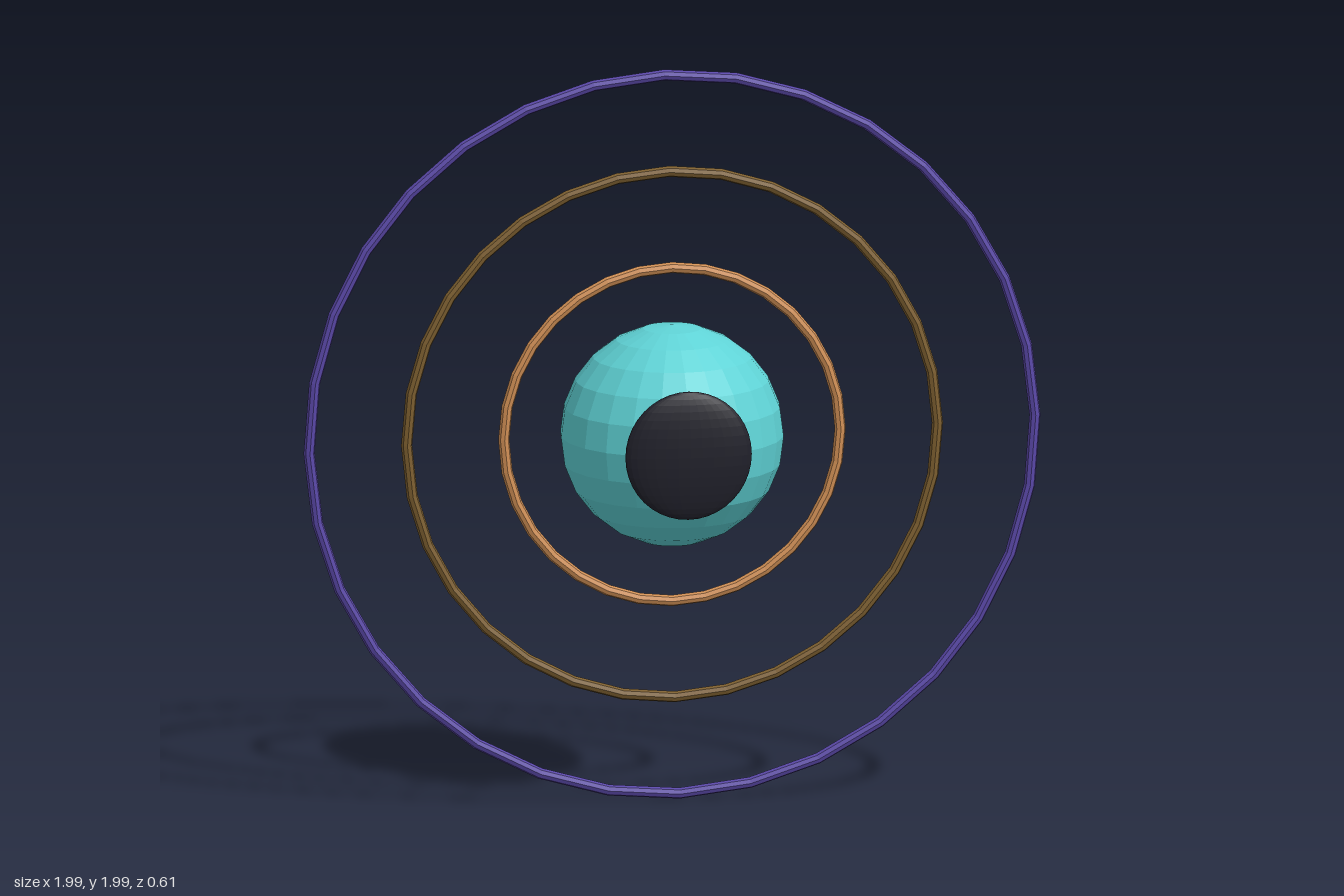
import * as THREE from 'three';

const CENTER_Y = 1;
const CENTER_Z = -0.007;

function addPart(group, name, geometry, color, z = CENTER_Z) {
  const material = new THREE.MeshStandardMaterial({ color, flatShading: true });
  const mesh = new THREE.Mesh(geometry, material);
  mesh.name = name;
  mesh.position.set(0, CENTER_Y, z);
  group.add(mesh);
  return mesh;
}

export function createModel() {
  const group = new THREE.Group();
  group.name = 'ringedEye';

  // Eyeball
  addPart(group, 'eyeball', new THREE.SphereGeometry(0.3, 24, 12), 0x5fd3d6);

  // Flattened pupil set into the front of the eyeball
  const pupil = addPart(group, 'pupil', new THREE.SphereGeometry(1, 32, 20), 0x20202a, 0.273);
  pupil.scale.set(0.171, 0.175, 0.034);

  // Concentric upright rings, each turned slightly
  const rings = [
    ['innerRing', 0.455, 0xd08f55, 0],
    ['middleRing', 0.718, 0x7d5f30, 0.01],
    ['outerRing', 0.982, 0x5a48a8, 0.021],
  ];
  for (const [name, radius, color, turn] of rings) {
    const ring = addPart(group, name, new THREE.TorusGeometry(radius, 0.015, 8, 32), color);
    ring.rotation.z = turn;
  }
  return group;
}
